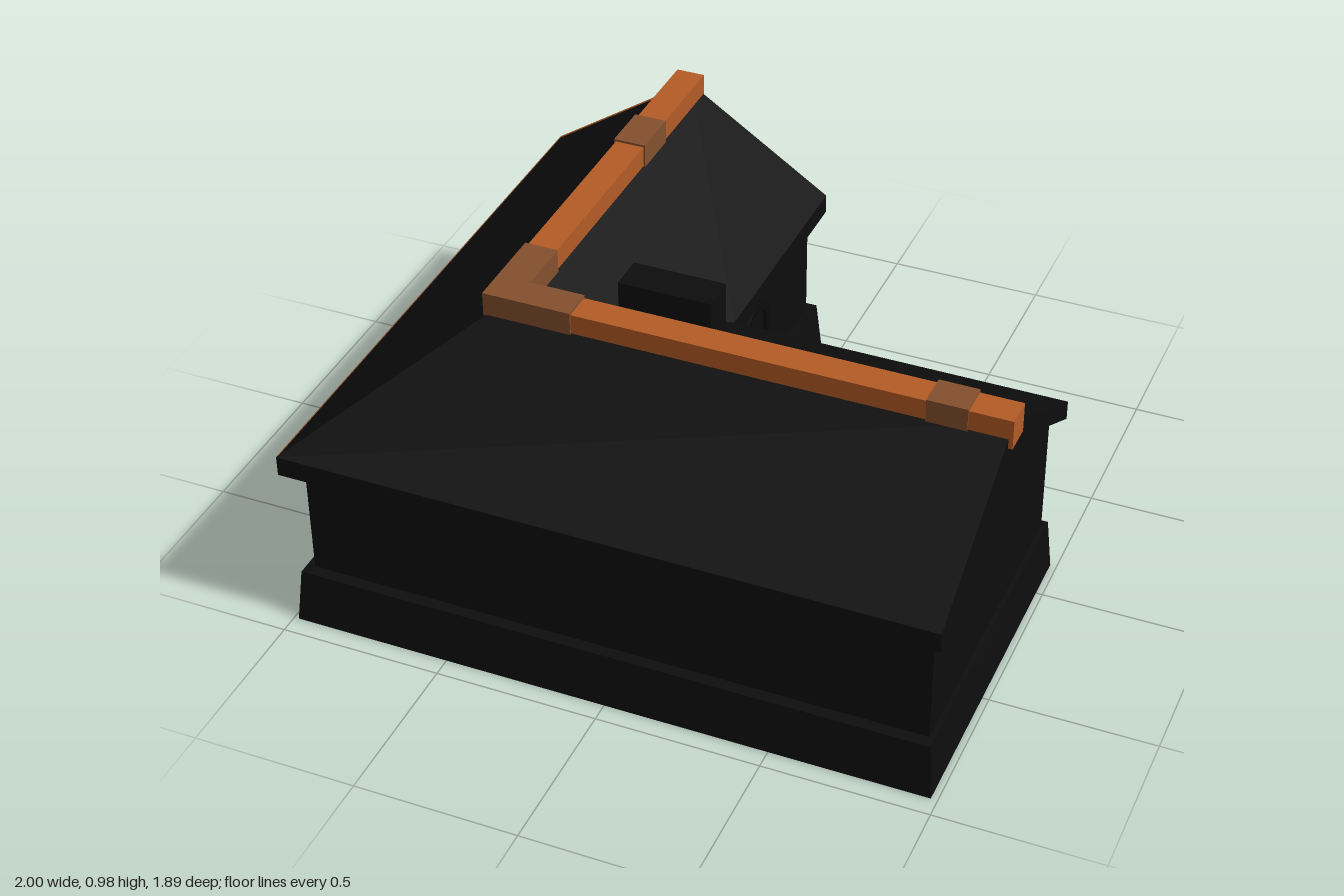
import * as THREE from 'three';

const mat = (color) => new THREE.MeshStandardMaterial({ color, flatShading: true });
const dark = mat(0x0d0d0d);
const darkTrim = mat(0x0a0a0a);
const orange = mat(0xb45c26);
const capBrown = mat(0x85502e);
const stepBrown = mat(0x6b4233);

// Sweeps a profile round the L: back end -> mitred corner -> side end.
// Each profile point is [x on the back wing, z on the side wing, y, inset of the open ends].
function sweepL(profile, endZ, endX) {
  const rings = [
    profile.map(([x, , y, e = 0]) => [x, y, endZ + e]),
    profile.map(([x, z, y]) => [x, y, z]),
    profile.map(([, z, y, e = 0]) => [endX - e, y, z]),
  ];
  const n = profile.length;
  const pos = [];
  const quad = (a, b, c, d) => pos.push(...a, ...b, ...c, ...a, ...c, ...d);
  for (let r = 0; r < 2; r++) {
    for (let i = 0; i < n; i++) {
      const j = (i + 1) % n;
      quad(rings[r][i], rings[r + 1][i], rings[r + 1][j], rings[r][j]);
    }
  }
  // end faces, zipped across the profile
  const [first, , last] = rings;
  for (let i = 0; i < n / 2 - 1; i++) {
    quad(first[i], first[i + 1], first[n - 2 - i], first[n - 1 - i]);
    quad(last[n - 1 - i], last[n - 2 - i], last[i + 1], last[i]);
  }
  const geo = new THREE.BufferGeometry();
  geo.setAttribute('position', new THREE.Float32BufferAttribute(pos, 3));
  geo.computeVertexNormals();
  return geo;
}

export function createModel() {
  const house = new THREE.Group();
  house.name = 'house';

  const add = (name, geo, material) => {
    const mesh = new THREE.Mesh(geo, material);
    mesh.name = name;
    house.add(mesh);
    return mesh;
  };
  // box from its minimum and maximum on each axis
  const box = (name, material, x0, x1, y0, y1, z0, z1) => {
    const mesh = add(name, new THREE.BoxGeometry(x1 - x0, y1 - y0, z1 - z0), material);
    mesh.position.set((x0 + x1) / 2, (y0 + y1) / 2, (z0 + z1) / 2);
    return mesh;
  };
  // thin square bar between two points
  const bar = (name, material, a, b, t) => {
    const from = new THREE.Vector3(...a), to = new THREE.Vector3(...b);
    const mesh = add(name, new THREE.BoxGeometry(t, t, from.distanceTo(to)), material);
    mesh.position.copy(from).lerp(to, 0.5);
    mesh.lookAt(to);
    return mesh;
  };

  // battered plinth
  add('plinth', sweepL([
    [-0.985, 0.94, 0], [-0.97, 0.922, 0.17, 0.015],
    [-0.08, -0.13, 0.17, 0.015], [-0.065, -0.142, 0],
  ], -0.94, 0.98), dark);

  // walls with gable ends
  add('walls', sweepL([
    [-0.945, 0.885, 0.565], [-0.53, 0.385, 0.85], [-0.105, -0.112, 0.565],
    [-0.105, -0.112, 0.1], [-0.53, 0.385, 0.1], [-0.945, 0.885, 0.1],
  ], -0.895, 0.95), dark);

  // roof slab with hip outside and valley inside
  add('roof', sweepL([
    [-1, 0.94, 0.592], [-0.53, 0.385, 0.902], [-0.06, -0.17, 0.592],
    [-0.06, -0.17, 0.53], [-0.53, 0.385, 0.84], [-1, 0.94, 0.53],
  ], -0.94, 0.985), dark);

  // thin trim on the outer slope
  bar('rakeTrim', orange, [-0.53, 0.897, -0.938], [-0.994, 0.59, -0.938], 0.012);
  bar('eaveTrim', capBrown, [-0.994, 0.59, -0.938], [-0.994, 0.59, 0.93], 0.01);

  // ridge beams and their collars
  box('ridgeBeamSide', orange, -0.53, 0.998, 0.845, 0.938, 0.34, 0.432);
  box('ridgeBeamBack', orange, -0.577, -0.485, 0.845, 0.938, -0.946, 0.385);
  box('ridgeCollarSide', capBrown, 0.75, 0.87, 0.85, 0.945, 0.335, 0.437);
  box('ridgeCollarBack', capBrown, -0.583, -0.48, 0.85, 0.945, -0.63, -0.47);
  box('ridgeCornerSide', capBrown, -0.48, -0.31, 0.85, 0.945, 0.335, 0.437);
  box('ridgeCornerBack', capBrown, -0.583, -0.48, 0.85, 0.945, 0.155, 0.437);

  // chimney
  box('chimney', dark, -0.23, 0.055, 0.6, 0.975, 0.17, 0.282);

  // arched door in the courtyard wall: shape x runs along the wall
  const arch = (shape, r, top) => {
    shape.moveTo(-r, 0.1);
    shape.lineTo(r, 0.1);
    shape.lineTo(r, top - r);
    shape.absarc(0, top - r, r, 0, Math.PI, false);
    shape.lineTo(-r, 0.1);
    return shape;
  };
  const frame = arch(new THREE.Shape(), 0.1, 0.48);
  frame.holes.push(arch(new THREE.Path(), 0.078, 0.458));
  const doorParts = [['doorFrame', frame, 0.02, darkTrim], ['door', arch(new THREE.Shape(), 0.08, 0.46), 0.008, dark]];
  for (const [name, shape, depth, material] of doorParts) {
    const mesh = add(name, new THREE.ExtrudeGeometry(shape, { depth, bevelEnabled: false, curveSegments: 8 }), material);
    mesh.rotation.y = Math.PI / 2;
    mesh.position.set(-0.106, 0, -0.425);
  }

  // entrance steps: two sloping stringers and three treads
  const stringer = new THREE.Shape([
    [-0.1, 0], [0.02, 0], [0.02, 0.035], [-0.055, 0.19], [-0.1, 0.19],
  ].map(([x, y]) => new THREE.Vector2(x, y)));
  for (const z of [-0.59, -0.318]) {
    const mesh = add('stepStringer', new THREE.ExtrudeGeometry(stringer, { depth: 0.052, bevelEnabled: false }), stepBrown);
    mesh.position.z = z;
  }
  for (let i = 0; i < 3; i++) {
    const y = 0.035 + i * 0.052;
    box('stepTread', stepBrown, -0.095, 0.004 - i * 0.022, y - 0.006, y + 0.006, -0.54, -0.316);
  }

  return house;
}
